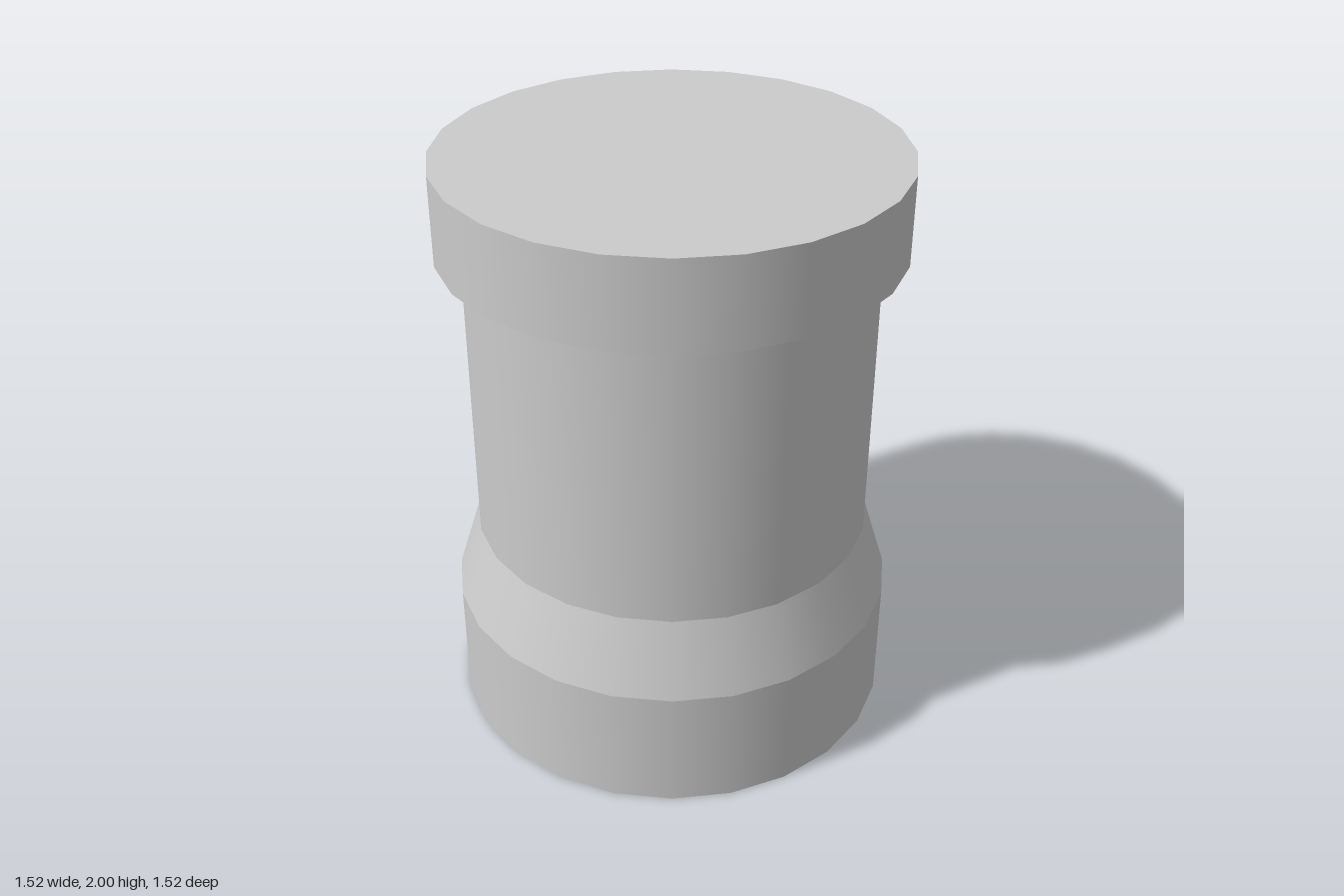
import * as THREE from 'three';

const SIDES = 24;
const WIDE = 0.762;
const NARROW = 0.68;

export function createModel() {
  const group = new THREE.Group();
  group.name = 'column';
  const material = new THREE.MeshStandardMaterial({ color: 0xcccccc });

  const add = (name, geometry, y) => {
    const mesh = new THREE.Mesh(geometry, material);
    mesh.name = name;
    mesh.position.y = y;
    group.add(mesh);
  };

  // One smooth-sided drum between two heights
  const drum = (name, bottomRadius, topRadius, y0, y1) =>
    add(name, new THREE.CylinderGeometry(topRadius, bottomRadius, y1 - y0, SIDES, 1, true), (y0 + y1) / 2);

  // Flat disc or ring, facing up (1) or down (-1)
  const flat = (name, inner, outer, y, facing) => {
    const geometry = inner > 0
      ? new THREE.RingGeometry(inner, outer, SIDES)
      : new THREE.CircleGeometry(outer, SIDES);
    add(name, geometry.rotateX(-facing * Math.PI / 2), y);
  };

  // Base, sloped shoulder, shaft and overhanging cap
  flat('baseUnderside', 0, WIDE, 0, -1);
  drum('base', WIDE, WIDE, 0, 0.43);
  drum('shoulder', WIDE, NARROW, 0.43, 0.69);
  drum('shaft', NARROW, NARROW, 0.69, 1.7);
  flat('capUnderside', NARROW, WIDE, 1.7, -1);
  drum('cap', WIDE, WIDE, 1.7, 2);
  flat('capTop', 0, WIDE, 2, 1);

  return group;
}
